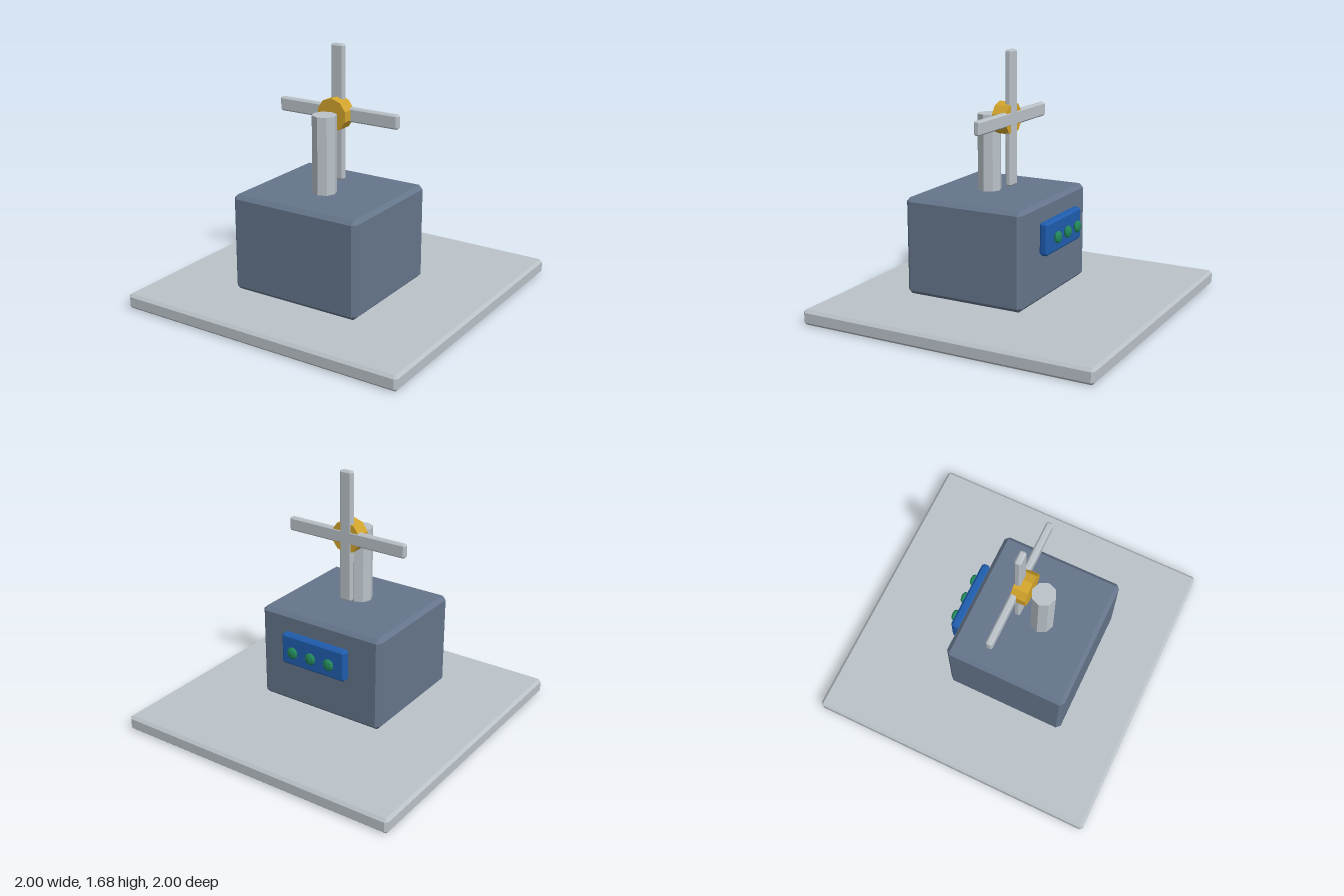
import * as THREE from 'three';
import { ConvexGeometry } from 'three/addons/geometries/ConvexGeometry.js';

const paint = (name, color) => {
  const m = new THREE.MeshStandardMaterial({ color });
  m.name = name;
  return m;
};

// Box with every edge cut by a flat chamfer
function chamferBox(w, h, d, c) {
  const points = [];
  for (const x of [-1, 1]) for (const y of [-1, 1]) for (const z of [-1, 1]) {
    const X = w / 2, Y = h / 2, Z = d / 2;
    points.push(
      new THREE.Vector3(x * X, y * (Y - c), z * (Z - c)),
      new THREE.Vector3(x * (X - c), y * Y, z * (Z - c)),
      new THREE.Vector3(x * (X - c), y * (Y - c), z * Z));
  }
  return new ConvexGeometry(points);
}

// Gives a geometry one normal per face
function faceted(geometry) {
  const g = geometry.toNonIndexed();
  g.computeVertexNormals();
  return g;
}

export function createModel() {
  const model = new THREE.Group();
  model.name = 'fanMachine';
  const grey = paint('light grey', 0xbac2c8);
  const slate = paint('slate', 0x65758b);
  const gold = paint('gold', 0xd2a42c);
  const blue = paint('blue', 0x1f5dae);
  const green = paint('green', 0x21875a);

  const add = (name, geometry, material, x, y, z) => {
    const mesh = new THREE.Mesh(geometry, material);
    mesh.name = name;
    mesh.position.set(x, y, z);
    model.add(mesh);
    return mesh;
  };

  // Base plate and housing
  add('basePlate', chamferBox(2, 0.1, 2, 0.018), grey, 0, 0.05, 0);
  add('housing', chamferBox(0.915, 0.643, 0.836, 0.026), slate, 0, 0.4335, 0.16);

  // Eight-sided post on the housing
  add('post', faceted(new THREE.CylinderGeometry(0.079, 0.079, 0.56, 8)), grey, 0, 0.98, 0.217);

  // Ten-sided hub with crossed blades
  const hub = faceted(new THREE.CylinderGeometry(0.107, 0.107, 0.102, 10).rotateX(Math.PI / 2));
  add('hub', hub, gold, 0, 1.24, 0.088);
  add('horizontalBlade', chamferBox(0.88, 0.092, 0.044, 0.01), grey, 0, 1.24, 0.055);
  add('verticalBlade', chamferBox(0.09, 0.88, 0.044, 0.01), grey, 0, 1.24, 0.055);

  // Control panel with three flattened buttons on the back
  add('controlPanel', chamferBox(0.49, 0.214, 0.06, 0.014), blue, 0, 0.54, -0.303);
  const button = faceted(new THREE.SphereGeometry(0.04, 8, 6).scale(1, 1, 0.52));
  for (const x of [-0.14, 0, 0.14]) add('button', button, green, x, 0.54, -0.356);

  return model;
}
